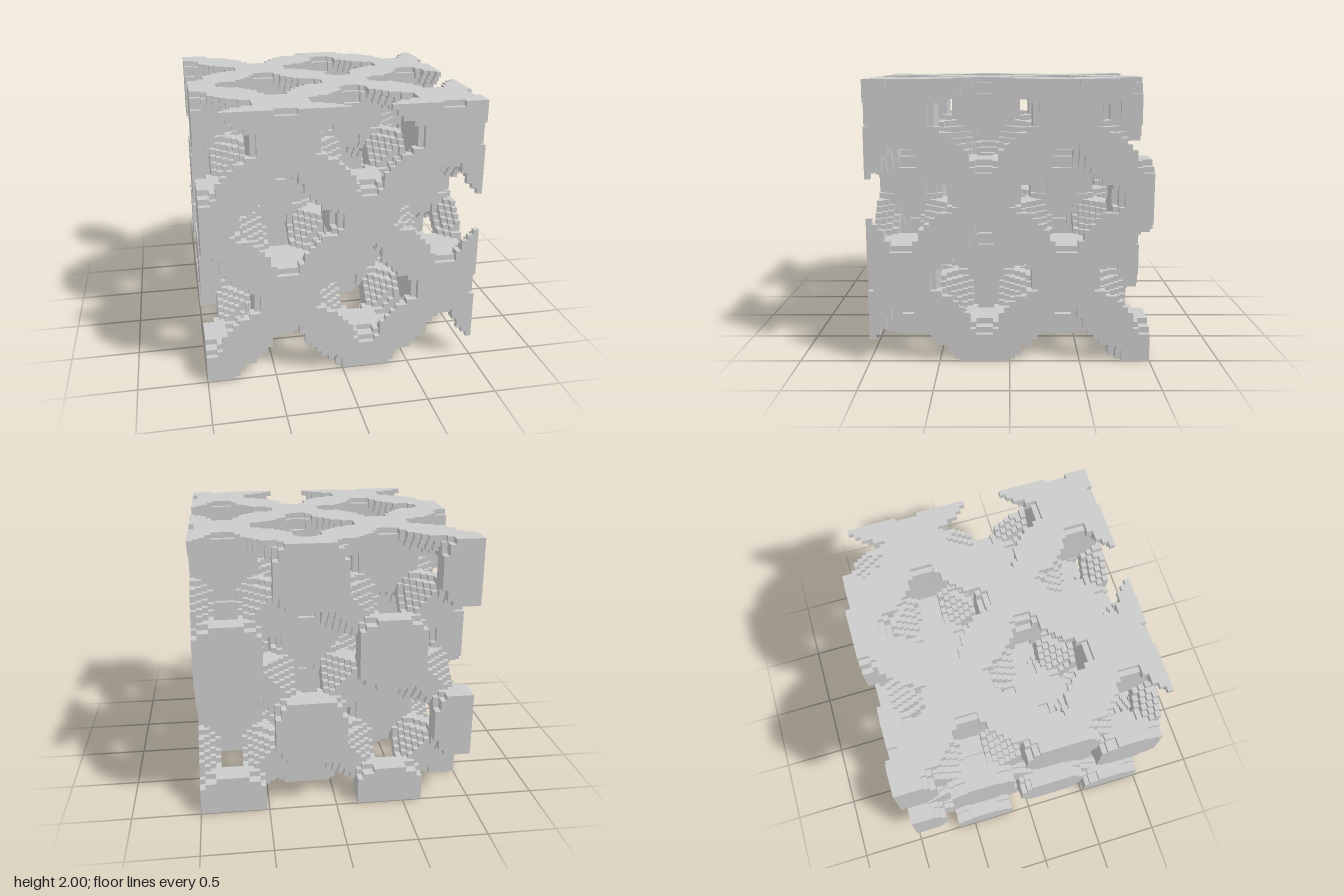
import * as THREE from 'three';

const N = 50;                  // cells per side
const CELL = 2 / N;
const PHASE = Math.PI / 14.5;  // half a lattice period is 14.5 cells

// F-RD triply periodic surface sampled per cell; the negative side is solid
const c1 = Array.from({ length: N }, (_, i) => Math.cos(i * PHASE));
const c2 = Array.from({ length: N }, (_, i) => Math.cos(2 * i * PHASE));
function solid([i, j, k]) {
  if (Math.min(i, j, k) < 0 || Math.max(i, j, k) >= N) return false;
  return 4 * c1[i] * c1[j] * c1[k] < c2[i] * c2[j] + c2[j] * c2[k] + c2[k] * c2[i];
}

// Exposed cell faces on one axis and side, joined into strips along a row
function addFaces(positions, axis, side) {
  const u = (axis + 1) % 3, v = (axis + 2) % 3;
  const exposed = (layer, row, col) => {
    const cell = [0, 0, 0];
    cell[axis] = layer; cell[u] = row; cell[v] = col;
    if (!solid(cell)) return false;
    cell[axis] += side;
    return !solid(cell);
  };
  const corner = (layer, row, col) => {
    const p = [0, 0, 0];
    p[axis] = layer + (side > 0 ? 1 : 0); p[u] = row; p[v] = col;
    return [p[0] * CELL - 1, p[1] * CELL, p[2] * CELL - 1];
  };
  for (let layer = 0; layer < N; layer++) {
    for (let row = 0; row < N; row++) {
      for (let col = 0; col < N; col++) {
        if (!exposed(layer, row, col)) continue;
        const start = col;
        while (col < N && exposed(layer, row, col)) col++;
        const a = corner(layer, row, start), b = corner(layer, row + 1, start);
        const c = corner(layer, row + 1, col), d = corner(layer, row, col);
        const order = side > 0 ? [a, b, c, a, c, d] : [a, c, b, a, d, c];
        for (const p of order) positions.push(...p);
      }
    }
  }
}

export function createModel() {
  const positions = [];
  for (let axis = 0; axis < 3; axis++) {
    addFaces(positions, axis, 1);
    addFaces(positions, axis, -1);
  }
  const geometry = new THREE.BufferGeometry();
  geometry.setAttribute('position', new THREE.Float32BufferAttribute(positions, 3));
  geometry.computeVertexNormals();

  const lattice = new THREE.Mesh(
    geometry,
    new THREE.MeshStandardMaterial({ color: 0xcccccc, flatShading: true })
  );
  lattice.name = 'steppedLattice';

  const group = new THREE.Group();
  group.name = 'latticeCube';
  group.add(lattice);
  return group;
}
